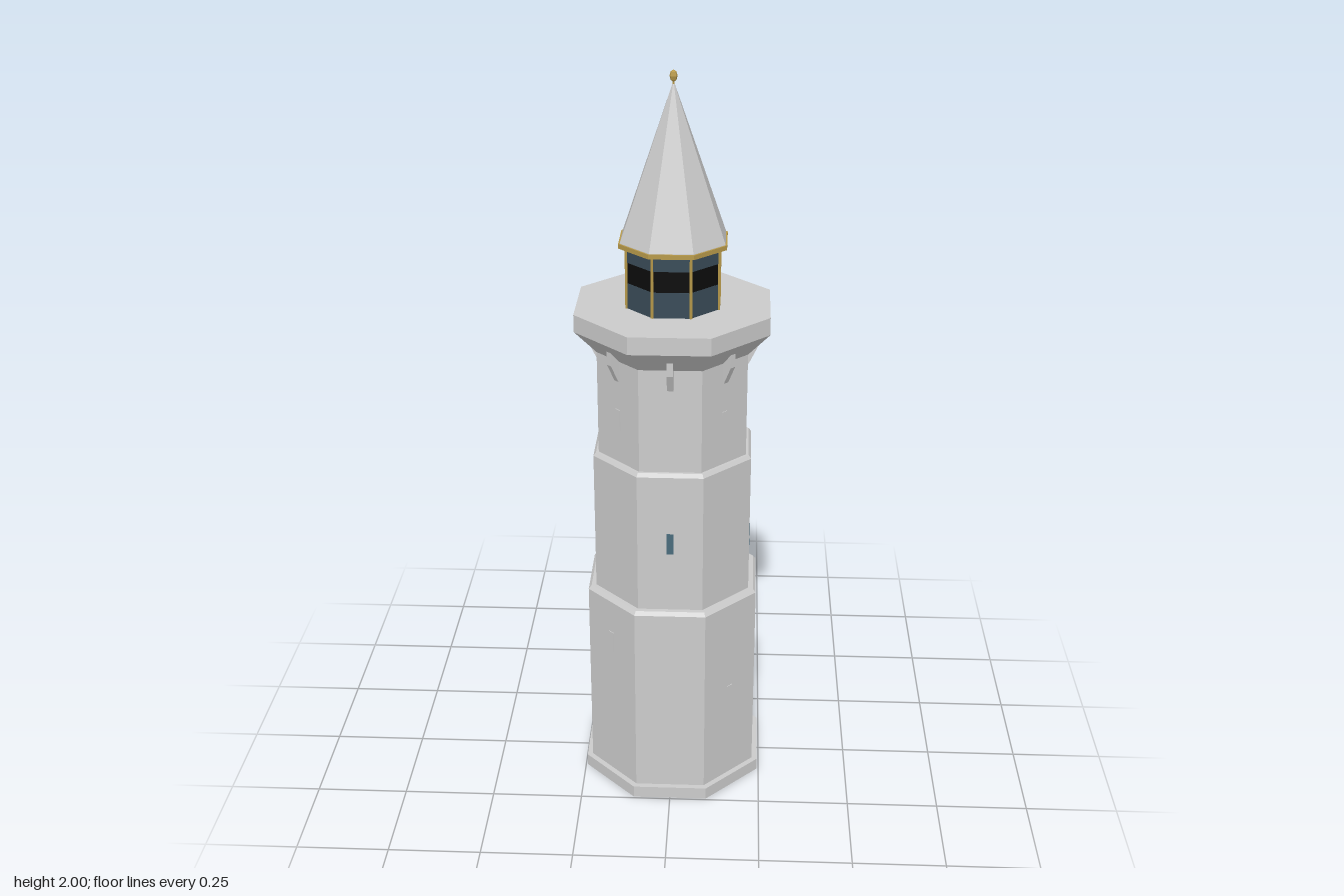
import * as THREE from 'three';

const EIGHTH = Math.PI / 4;
const HALF = Math.PI / 8;
const grey = new THREE.MeshStandardMaterial({ color: 0xcccccc, flatShading: true });
const paint = (color) => new THREE.MeshStandardMaterial({ color, flatShading: true });
const glass = paint(0x4a6b7c);
const darkGlass = paint(0x3a4c58);
const black = paint(0x0c0c0c);
const gold = paint(0xb89a4a);

export function createModel() {
  const root = new THREE.Group();

  const add = (name, geometry, material = grey, parent = root) => {
    const mesh = new THREE.Mesh(geometry, material);
    mesh.name = name;
    parent.add(mesh);
    return mesh;
  };

  // Octagonal solid from [apothem, y] points; with a doorway its back side is left out
  const octagon = (name, points, material = grey, doorway = false) => {
    const profile = points.map(([a, y]) => new THREE.Vector2(a / Math.cos(HALF), y));
    const sides = doorway ? 7 : 8;
    return add(name, new THREE.LatheGeometry(profile, sides, 9 * HALF, sides * EIGHTH), material);
  };

  // Hollow wall with outer and inner apothem
  const ring = (outer, inner, y0, y1) =>
    [[inner, y0], [outer, y0], [outer, y1], [inner, y1], [inner, y0]];

  // Group turned so that its +z points out of one of the eight sides
  const onSide = (name, side) => {
    const group = new THREE.Group();
    group.name = name;
    group.rotation.y = side * EIGHTH;
    root.add(group);
    return group;
  };

  // Plinth, broken at the doorway
  octagon('plinth', ring(0.245, 0.185, 0, 0.035), grey, true);
  for (const s of [-1, 1]) {
    add('plinthEnd', new THREE.BoxGeometry(0.0195, 0.035, 0.05))
      .position.set(s * 0.0917, 0.0175, -0.22);
  }

  // Lower tier with the door wall at the back
  octagon('lowerTier', ring(0.23, 0.185, 0.035, 0.59), grey, true);
  const w = 0.23 * Math.tan(HALF);
  const d = 0.037;
  const wall = new THREE.Shape();
  wall.moveTo(-w, 0);
  wall.lineTo(-d, 0);
  wall.lineTo(-d, 0.115);
  wall.absarc(0, 0.115, d, Math.PI, 0, true);
  wall.lineTo(d, 0);
  wall.lineTo(w, 0);
  wall.lineTo(w, 0.59);
  wall.lineTo(-w, 0.59);
  wall.closePath();
  const back = onSide('doorSide', 4);
  add('doorWall', new THREE.ExtrudeGeometry(wall,
    { depth: 0.045, bevelEnabled: false, curveSegments: 10 }), grey, back).position.z = 0.185;
  octagon('lowerLedge',
    [[0.165, 0.59], [0.23, 0.59], [0.222, 0.6], [0.165, 0.6], [0.165, 0.59]]);

  // Middle and upper tiers
  octagon('middleTier',
    [[0.165, 0.6], [0.209, 0.6], [0.209, 0.995], [0.202, 1.005], [0.15, 1.005], [0.165, 0.6]]);
  octagon('upperTier', ring(0.195, 0.15, 1.005, 1.29));

  // Flared gallery
  octagon('gallery', [[0, 1.29], [0.195, 1.29], [0.25, 1.353], [0.25, 1.4], [0, 1.4]]);

  // Wedge bracket, drawn as (outward, up) and turned to point along +z
  const wedge = new THREE.Shape([
    new THREE.Vector2(0.19, 1.235), new THREE.Vector2(0.198, 1.235),
    new THREE.Vector2(0.222, 1.285), new THREE.Vector2(0.222, 1.325),
    new THREE.Vector2(0.19, 1.325),
  ]);
  const bracket = new THREE.ExtrudeGeometry(wedge, { depth: 0.016, bevelEnabled: false });
  bracket.translate(0, 0, -0.008).rotateY(-Math.PI / 2);

  // Slit windows and brackets on each side
  const slit = new THREE.BoxGeometry(0.018, 0.06, 0.006);
  const middleHeights = [0.8, 0.72, 0.72, 0.8];
  const lowerHeights = [0.3, 0.355, 0.41, 0.465];
  for (let i = 0; i < 8; i++) {
    const side = onSide('side', i);
    add('bracket', bracket, grey, side);
    const n = Math.floor(i / 2);
    if (i % 2 === 0) {
      add('glassSlit', slit, glass, side).position.set(0, middleHeights[n], 0.208);
    } else {
      add('lowerSlit', slit, grey, side).position.set(0, lowerHeights[n], 0.229);
      add('upperSlit', slit, grey, side).position.set(0, 1.125, 0.194);
    }
  }

  // Lantern room: dark glass with a black band and gilt corner bars
  octagon('lanternBase', [[0, 1.4], [0.118, 1.4], [0.118, 1.468], [0, 1.468]], darkGlass);
  octagon('lanternBand', [[0.117, 1.468], [0.117, 1.523]], black);
  octagon('lanternTop', [[0, 1.523], [0.118, 1.523], [0.118, 1.57], [0, 1.57]], darkGlass);
  for (let i = 0; i < 8; i++) {
    const a = HALF + i * EIGHTH;
    const r = 0.118 / Math.cos(HALF);
    add('lanternBar', new THREE.CylinderGeometry(0.004, 0.004, 0.17, 6), gold)
      .position.set(r * Math.sin(a), 1.485, r * Math.cos(a));
  }

  // Eaves, roof and finial
  octagon('eaves', ring(0.137, 0.11, 1.562, 1.574), gold);
  octagon('roof', [[0, 1.57], [0.133, 1.57], [0.133, 1.575], [0.003, 1.965], [0, 1.965]]);
  add('finialRod', new THREE.CylinderGeometry(0.003, 0.003, 0.04, 6), gold).position.y = 1.97;
  add('finial', new THREE.SphereGeometry(0.01, 8, 4), gold).position.y = 1.985;
  root.getObjectByName('finial').scale.y = 1.5;

  return root;
}
